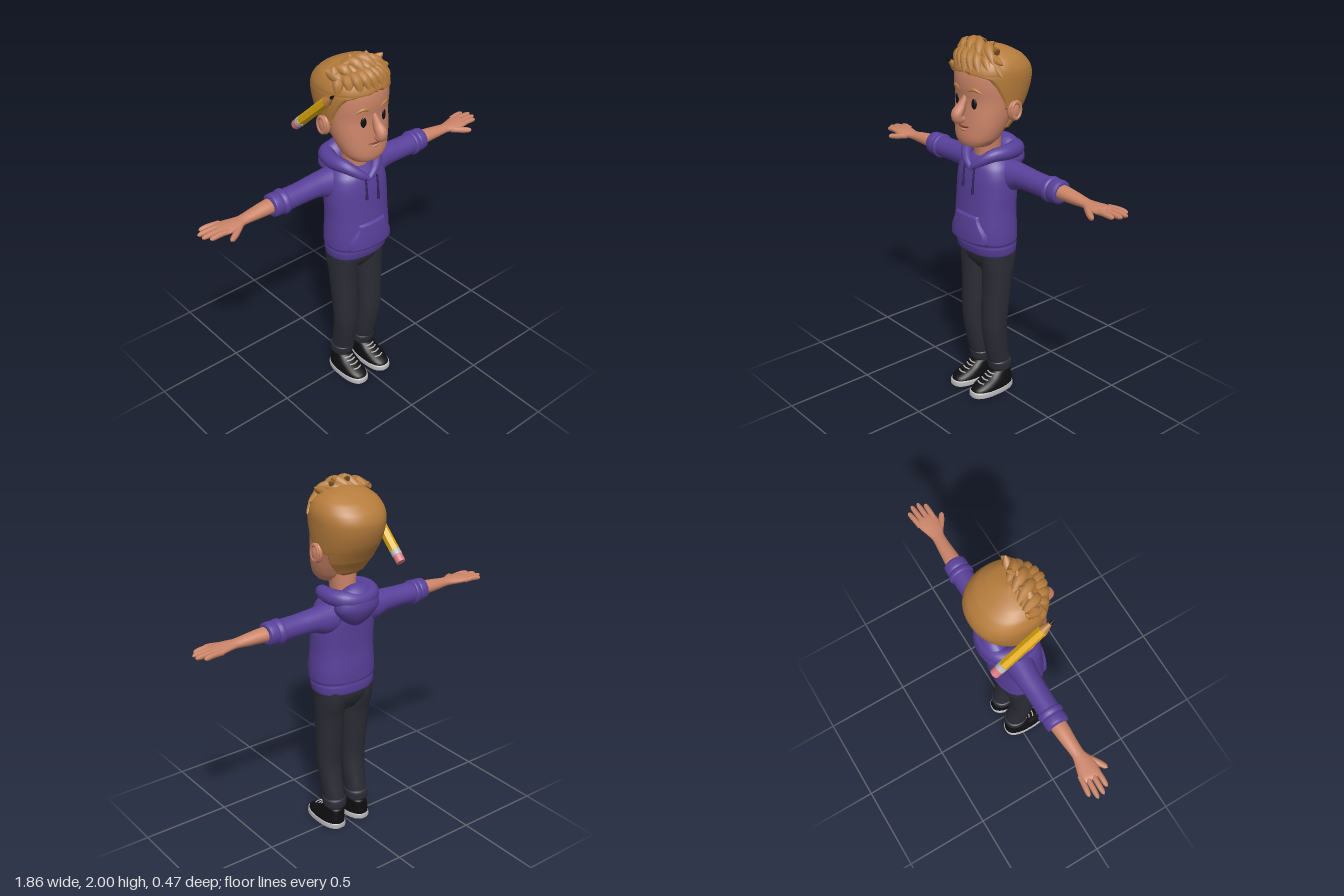
import * as THREE from 'three';

const material = (name, color, side = THREE.FrontSide) => {
  const m = new THREE.MeshStandardMaterial({ color, side });
  m.name = name;
  return m;
};
const V = (x, y, z) => new THREE.Vector3(x, y, z);

// Section tables hold [height, centreX, halfWidth, zFront, zBack]; heights ascend.
function sectionAt(table, y) {
  let i = 0;
  while (i < table.length - 2 && y > table[i + 1][0]) i++;
  const p = table[i], q = table[i + 1];
  const o = table[Math.max(i - 1, 0)], r = table[Math.min(i + 2, table.length - 1)];
  const f = THREE.MathUtils.clamp((y - p[0]) / (q[0] - p[0]), 0, 1);
  return [1, 2, 3, 4].map((k) => {
    const m0 = (q[k] - o[k]) / 2, m1 = (r[k] - p[k]) / 2, d = q[k] - p[k];
    return p[k] + f * (m0 + f * (3 * d - 2 * m0 - m1 + f * (m0 + m1 - 2 * d)));
  });
}
// Front surface depth of a lofted body
function frontZ(table, x, y, p = 2.2) {
  const [cx, w, f, b] = sectionAt(table, y);
  return (f + b) / 2 + (f - b) / 2 * Math.pow(Math.max(0, 1 - Math.pow(Math.abs((x - cx) / w), p)), 1 / p);
}
function ringPoint([cx, w, f, b], a, y, p, s = 1) {
  const e = (v) => Math.sign(v) * Math.pow(Math.abs(v), 2 / p);
  return [cx + s * w * e(Math.sin(a)), y, (f + b) / 2 + s * (f - b) / 2 * e(Math.cos(a))];
}
function build(pos, index) {
  const g = new THREE.BufferGeometry();
  g.setAttribute('position', new THREE.Float32BufferAttribute(pos, 3));
  g.setIndex(index);
  g.computeVertexNormals();
  return g;
}
// Closed loft through elliptical sections
function loft(table, p = 2.2, n = 36, sub = 4) {
  const pos = [], index = [], ys = [];
  table.forEach((s, i) => {
    if (i) for (let k = 1; k <= sub; k++) ys.push(THREE.MathUtils.lerp(table[i - 1][0], s[0], k / sub));
    else ys.push(s[0]);
  });
  for (const y of ys) for (let j = 0; j < n; j++) pos.push(...ringPoint(sectionAt(table, y), j / n * Math.PI * 2, y, p));
  const last = (ys.length - 1) * n, c = ys.length * n;
  for (const y of [ys[0], ys[ys.length - 1]]) {
    const [cx, , f, b] = sectionAt(table, y);
    pos.push(cx, y, (f + b) / 2);
  }
  for (let j = 0; j < n; j++) {
    const k = (j + 1) % n;
    for (let i = 0; i < last; i += n) index.push(i + j, i + k, i + n + k, i + j, i + n + k, i + n + j);
    index.push(c, k, j, c + 1, last + j, last + k);
  }
  return build(pos, index);
}
// Loft lying along x; rows are [x, centreY, halfHeight, zFront, zBack]
const sideLoft = (rows) => loft(rows.map(([x, y, ...r]) => [x, -y, ...r]), 2, 24).rotateZ(-Math.PI / 2);

// Tube whose radius follows a rule
function sweep(points, radius, seg = 16, n = 10) {
  const curve = new THREE.CatmullRomCurve3(points);
  const g = new THREE.TubeGeometry(curve, seg, 1, n), pos = g.attributes.position, v = V(0, 0, 0);
  for (let i = 0; i <= seg; i++) {
    const c = curve.getPointAt(i / seg), r = radius(i / seg);
    for (let j = 0; j <= n; j++) {
      const k = i * (n + 1) + j;
      v.fromBufferAttribute(pos, k).sub(c).multiplyScalar(r).add(c);
      pos.setXYZ(k, v.x, v.y, v.z);
    }
  }
  return g;
}
const blunt = (r) => (t) => r * Math.sqrt(Math.max(0, 1 - Math.pow(t, 8)));
const ball = (x, y, z, a, b, c) => new THREE.SphereGeometry(1, 28, 20).scale(a, b, c).translate(x, y, z);
function mirrored(g) {
  const m = g.clone().scale(-1, 1, 1), a = m.index.array;
  for (let i = 0; i < a.length; i += 3) [a[i], a[i + 1]] = [a[i + 1], a[i]];
  return m;
}

const HEAD = [[1.448, 0, .04, .13, .05], [1.462, 0, .09, .162, .01], [1.5, 0, .124, .173, -.03], [1.56, 0, .146, .17, -.065],
  [1.62, 0, .159, .165, -.1], [1.7, 0, .171, .158, -.15], [1.78, 0, .178, .165, -.18], [1.86, 0, .174, .15, -.18], [1.93, 0, .1, .08, -.1]];
const HAIR = [[1.515, 0, .1, .1, -.07], [1.53, 0, .13, .15, -.09], [1.6, 0, .162, .17, -.14], [1.7, 0, .178, .168, -.2], [1.8, 0, .188, .174, -.228],
  [1.86, 0, .186, .165, -.212], [1.91, 0, .162, .135, -.165], [1.945, 0, .115, .08, -.1], [1.965, 0, .04, .02, -.04], [1.967, 0, .001, -.009, -.011]];
const HAIRLINE = [[1.51, -.06], [1.65, -.062], [1.66, .035], [1.7, .045], [1.78, .09], [1.82, .12], [1.84, .17], [1.85, 1], [2, 1]];
const TORSO = [[.848, 0, .165, .125, -.1], [.858, 0, .176, .14, -.115], [.9, 0, .182, .15, -.118], [.915, 0, .18, .15, -.116], [.93, 0, .187, .157, -.12],
  [1.0, 0, .186, .158, -.12], [1.1, 0, .18, .15, -.115], [1.2, 0, .18, .142, -.12], [1.28, 0, .176, .135, -.125],
  [1.34, 0, .16, .122, -.125], [1.38, 0, .13, .095, -.12], [1.4, 0, .09, .06, -.1]];

// Hair shell whose front edge follows the hairline and tucks into the head
function hairShell(rows = 64, cols = 48) {
  const pos = [], index = [];
  for (let i = 0; i <= rows; i++) {
    const y = THREE.MathUtils.lerp(1.515, 1.967, i / rows), s = sectionAt(HAIR, y);
    const h = HAIRLINE.findIndex((q) => q[0] > y), [y0, z0] = HAIRLINE[h - 1], [y1, z1] = HAIRLINE[h];
    const z = z0 + (z1 - z0) * (y - y0) / (y1 - y0);
    const e = Math.acos(THREE.MathUtils.clamp((z - (s[2] + s[3]) / 2) / ((s[2] - s[3]) / 2), -1, 1));
    for (let j = 0; j <= cols; j++) {
      const edge = (j === 0 || j === cols) && e > 0;
      pos.push(...ringPoint(s, e + (2 * Math.PI - 2 * e) * j / cols, y, 2.2, edge ? .9 : 1));
      const a = i * (cols + 1) + j, b = a + cols + 1;
      if (i < rows && j < cols) index.push(a, a + 1, b + 1, a, b + 1, b);
    }
  }
  return build(pos, index);
}

export function createModel() {
  const root = new THREE.Group();
  root.name = 'boy';
  const skin = material('skin', 0xcb8468), hairMat = material('hair', 0xb67c3c, THREE.DoubleSide);
  const purple = material('hoodie purple', 0x58409a, THREE.DoubleSide), denim = material('dark denim', 0x2b2c35);
  const black = material('black', 0x0e0e10), grey = material('light grey', 0xb9b9bb);
  const yellow = material('pencil yellow', 0xe2ac0e), pink = material('eraser pink', 0xdc7a82);
  const brown = material('lip brown', 0x7c4032), cord = material('cord purple', 0x33245e);
  const add = (name, geo, mat, parent = root) => {
    const m = new THREE.Mesh(geo, mat);
    m.name = name;
    parent.add(m);
    return m;
  };
  const both = (name, geo, mat) => { add(name + 'Left', geo, mat); add(name + 'Right', mirrored(geo), mat); };

  // Head and face
  add('head', loft(HEAD), skin);
  add('neck', loft([[1.3, 0, .068, .07, -.08], [1.42, 0, .064, .08, -.065], [1.54, 0, .075, .1, -.065]]), skin);
  both('ear', ball(.177, 1.65, -.015, .026, .052, .036), skin);
  both('earRim', new THREE.TorusGeometry(.03, .008, 8, 24).rotateY(Math.PI / 2).scale(1, 1.4, 1).translate(.195, 1.655, -.018), skin);
  add('nose', sweep([V(0, 1.72, .15), V(0, 1.67, .18), V(0, 1.63, .208), V(0, 1.61, .2), V(0, 1.6, .16)],
    (t) => .012 + .02 * Math.sin(Math.PI * Math.pow(t, 1.3))), skin);
  both('eye', ball(0, 0, 0, .015, .028, .008).rotateY(.35).translate(.066, 1.69, frontZ(HEAD, .066, 1.69)), black);
  const onFace = (x, y) => V(x, y, frontZ(HEAD, x, y));
  both('eyebrow', sweep([onFace(.035, 1.752), onFace(.07, 1.765), onFace(.11, 1.745)], (t) => .009 * Math.sin(Math.PI * (.1 + .85 * t))), hairMat);
  add('mouth', sweep([-.046, -.02, 0, .02, .046].map((x) => onFace(x, 1.562 + x * x * 3)), (t) => .005 * Math.sin(Math.PI * t) + .001), brown);
  add('lowerLip', ball(0, 1.548, .166, .026, .009, .01), skin);

  // Hair: shell plus swept locks
  add('hairShell', hairShell(), hairMat);
  const lock = (pts, r) => add('hairLock', sweep(pts, (t) => r * Math.pow(Math.sin(Math.PI * (.12 + .88 * t)), .7), 14, 8), hairMat);
  for (let i = 0; i < 9; i++) {
    const t = i / 4 - 1, q = t * t, k = i % 2 ? .012 : -.008;
    lock([V(t * .09 - .04, 1.925, .04), V(t * .14 - .015, 1.925 - .035 * q, .135 - .07 * q), V(t * .17 + .012, 1.84 + k, .165 - .1 * q)], .028);
    lock([V(t * .1 - .06, 1.94, -.01), V(t * .12 - .02, 1.965 - .04 * q + k, .06), V(t * .15 + .03, 1.915 - .03 * q - k, .125 - .07 * q)], .03);
  }
  for (let i = 0; i < 6; i++) {
    const t = i / 2.5 - 1, q = t * t, k = i % 2 ? 1 : -1;
    lock([V(t * .1 - .03, 1.925, .03), V(t * .12 - .03, 1.965 - .03 * q, .04), V(t * .13 + k * .012, 2.0 - .035 * q, .035 + k * .02)], .024);
  }

  // Hoodie
  add('hoodieBody', loft(TORSO, 2.3, 48), purple);
  both('sleeve', sideLoft([[.09, 1.295, .085, .05, -.11], [.17, 1.295, .078, .035, -.105], [.23, 1.303, .064, .025, -.1], [.33, 1.302, .058, .022, -.095],
    [.43, 1.3, .058, .022, -.096], [.5, 1.3, .056, .02, -.094]]), purple);
  both('sleeveCuff', sideLoft([[.425, 1.3, .05, .015, -.09], [.432, 1.3, .066, .03, -.105], [.452, 1.3, .066, .03, -.105], [.462, 1.301, .059, .024, -.098],
    [.475, 1.302, .062, .026, -.1], [.512, 1.303, .06, .024, -.098], [.52, 1.304, .048, .012, -.086]]), purple);
  add('hoodRim', sweep([V(0, 1.325, .12), V(.05, 1.365, .105), V(.1, 1.405, .055), V(.118, 1.412, -.03), V(.085, 1.408, -.115), V(0, 1.4, -.14),
    V(-.085, 1.408, -.115), V(-.118, 1.412, -.03), V(-.1, 1.405, .055), V(-.05, 1.365, .105), V(0, 1.325, .12)],
  (t) => .014 + .034 * Math.pow(Math.sin(Math.PI * t), .8), 64, 16), purple);
  // Hood bag tapers to a point down the back
  const bag = ball(0, 0, 0, .135, .12, .08), bp = bag.attributes.position;
  for (let i = 0; i < bp.count; i++) {
    const d = Math.max(0, -bp.getY(i) / .12);
    bp.setXYZ(i, bp.getX(i) * (1 - .35 * d), bp.getY(i), bp.getZ(i) + .03 * d);
  }
  bag.computeVertexNormals();
  add('hoodBag', bag.translate(0, 1.355, -.112), purple);
  // Pocket follows the belly
  const pocket = new THREE.PlaneGeometry(2, 1, 32, 20), pp = pocket.attributes.position;
  for (let i = 0; i < pp.count; i++) {
    const u = pp.getX(i), v = pp.getY(i) + .5, y = .925 + .16 * v;
    const x = u * (.142 - .055 * THREE.MathUtils.smoothstep(v, .2, 1));
    const edge = Math.abs(u) > .99 || v < .01 || v > .99;
    pp.setXYZ(i, x, y, frontZ(TORSO, x, y, 2.3) + (edge ? -.006 : .012 + .008 * (1 - v)));
  }
  pocket.computeVertexNormals();
  add('pocket', pocket, purple);
  for (const [x, y] of [[-.034, 1.225], [.044, 1.2]]) {
    const at = (h, o) => V(x, h, frontZ(TORSO, x, h, 2.3) + o);
    add('drawstring', sweep([at(1.345, .015), at(1.29, .008), at(y, .006)], (t) => t > .8 ? .008 : .0055), cord);
  }
  add('shirtCollar', ball(0, 1.342, .025, .085, .06, .085), grey);

  // Forearms and hands
  both('forearm', sideLoft([[.46, 1.303, .04, .005, -.083], [.54, 1.305, .037, .006, -.08], [.62, 1.302, .031, .002, -.072], [.69, 1.3, .023, .002, -.066],
    [.73, 1.299, .022, .016, -.075], [.78, 1.299, .021, .022, -.09], [.82, 1.3, .018, .018, -.096], [.835, 1.3, .01, .008, -.09]]), skin);
  [[.9, -.083, -.098], [.93, -.055, -.065], [.927, -.025, -.03], [.902, .004, .003]].forEach(([x, z0, z1]) =>
    both('finger', sweep([V(.79, 1.3, z0), V(.85, 1.303, (z0 + z1) / 2), V(x, 1.298, z1)], blunt(.0145)), skin));
  both('thumb', sweep([V(.72, 1.295, -.005), V(.77, 1.288, .03), V(.82, 1.282, .06)], blunt(.0165)), skin);

  // Trousers
  add('pelvis', loft([[.74, 0, .08, .06, -.06], [.79, 0, .155, .098, -.09], [.84, 0, .166, .112, -.108], [.9, 0, .166, .115, -.105]]), denim);
  both('trouserLeg', loft([[.15, .077, .055, .045, -.075], [.2, .077, .058, .06, -.07], [.28, .079, .063, .077, -.055], [.4, .083, .068, .094, -.04],
    [.55, .085, .073, .094, -.052], [.7, .087, .076, .094, -.068], [.8, .088, .077, .103, -.095], [.88, .083, .08, .11, -.1]]), denim);
  both('trouserCuff', loft([[.126, .077, .052, .038, -.072], [.131, .077, .063, .047, -.083], [.175, .077, .064, .055, -.082], [.183, .077, .055, .052, -.072]]), denim);
  both('ankle', loft([[.08, .078, .042, .03, -.068], [.15, .077, .044, .03, -.066]]), skin);

  // Shoes
  both('shoeSole', loft([[0, .084, .064, .184, -.084], [.004, .084, .07, .191, -.09], [.03, .084, .069, .19, -.09], [.035, .084, .064, .184, -.085]], 2.5), grey);
  const SHOE = [[.03, .084, .066, .184, -.087], [.05, .084, .064, .172, -.086], [.07, .083, .059, .135, -.084], [.09, .081, .054, .085, -.082],
    [.112, .079, .049, .05, -.079], [.122, .079, .044, .04, -.073]];
  both('shoeUpper', loft(SHOE, 2.4), black);
  for (let i = 0; i < 4; i++) {
    const y = .072 + i * .012;
    both('shoeLace', sweep([-.028, 0, .028].map((x) => V(.082 + x, y, frontZ(SHOE, .082 + x, y, 2.4) + .001)), () => .0045, 8, 6), grey);
  }

  // Pencil tucked over the ear
  const pencil = new THREE.Group(), foot = V(-.205, 1.575, -.215), dir = V(-.213, 1.87, .105).sub(foot);
  pencil.name = 'pencil';
  pencil.position.copy(foot);
  pencil.quaternion.setFromUnitVectors(V(0, 1, 0), dir.normalize());
  root.add(pencil);
  const piece = (name, r0, r1, y0, y1, mat, n) => {
    let g = new THREE.CylinderGeometry(r1, r0, y1 - y0, n).translate(0, (y0 + y1) / 2, 0);
    if (n === 6) { g = g.toNonIndexed(); g.computeVertexNormals(); }
    add(name, g, mat, pencil);
  };
  piece('eraser', .025, .026, 0, .042, pink, 20);
  piece('ferrule', .027, .027, .042, .072, grey, 20);
  piece('pencilBody', .027, .027, .072, .355, yellow, 6);
  piece('pencilWood', .026, .009, .355, .405, hairMat, 12);
  piece('pencilLead', .009, .002, .405, .436, black, 12);
  return root;
}
